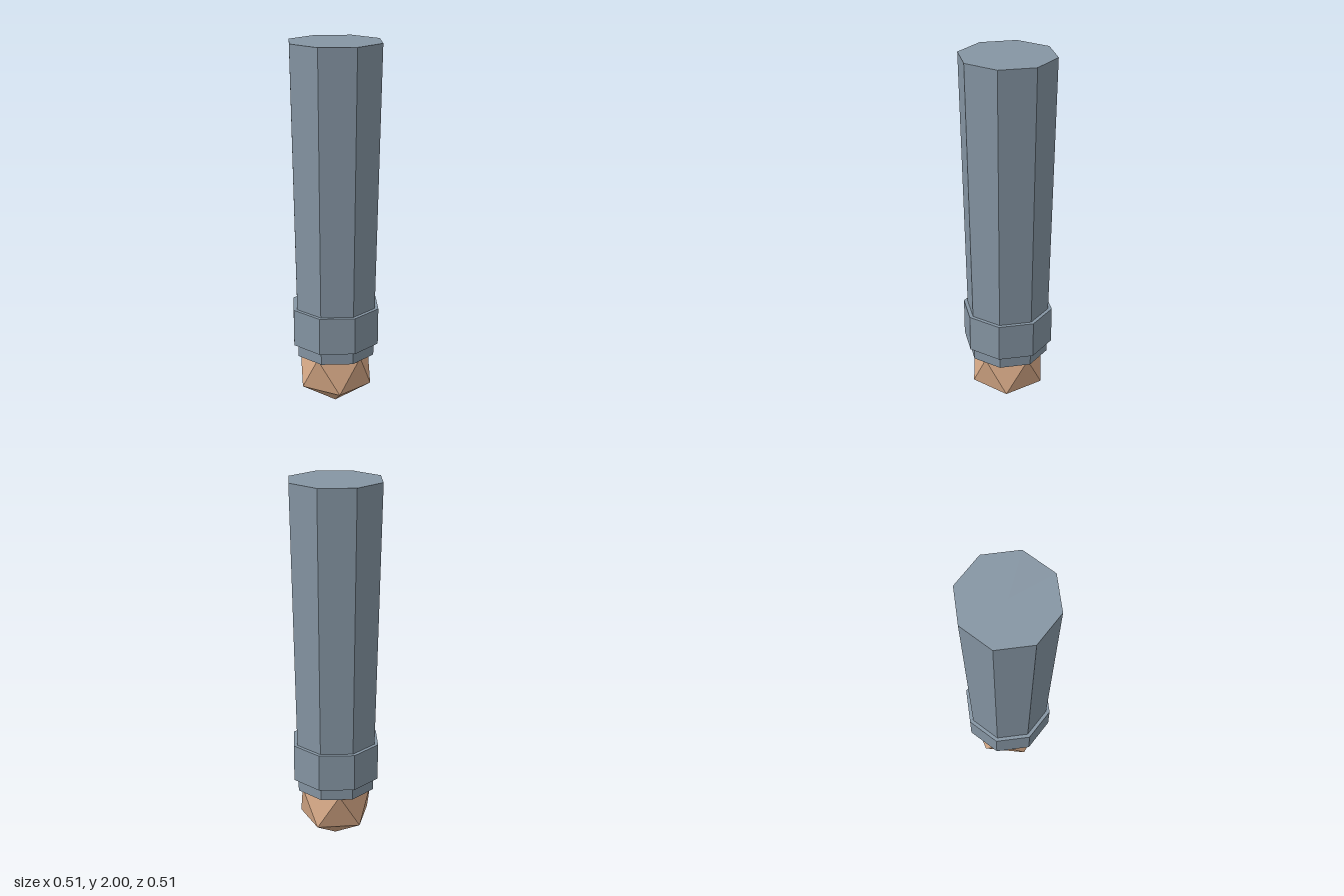
import * as THREE from 'three';

export function createModel() {
  const group = new THREE.Group();
  const sleeveGrey = new THREE.MeshStandardMaterial({ color: 0x8595a3, flatShading: true });
  sleeveGrey.name = 'sleeveGrey';
  const skinTan = new THREE.MeshStandardMaterial({ color: 0xd9ab88, flatShading: true });
  skinTan.name = 'skinTan';

  const add = (name, geometry, material, y) => {
    const mesh = new THREE.Mesh(geometry, material);
    mesh.name = name;
    mesh.position.y = y;
    group.add(mesh);
    return mesh;
  };

  // Eight-sided tube between two heights, corners on the x and z axes
  const octagon = (name, rTop, rBottom, y0, y1) =>
    add(name, new THREE.CylinderGeometry(rTop, rBottom, y1 - y0, 8), sleeveGrey, (y0 + y1) / 2);

  // Tapered sleeve and the cuff band around its lower end
  octagon('sleeve', 0.254, 0.22, 0.308, 2);
  octagon('cuff', 0.246, 0.245, 0.377, 0.58);

  // Fist: icosahedron turned so that one corner points straight down
  const fist = new THREE.IcosahedronGeometry(0.22, 0);
  fist.rotateZ(-Math.atan(2 / (1 + Math.sqrt(5))));
  add('fist', fist, skinTan, 0.22);

  return group;
}
